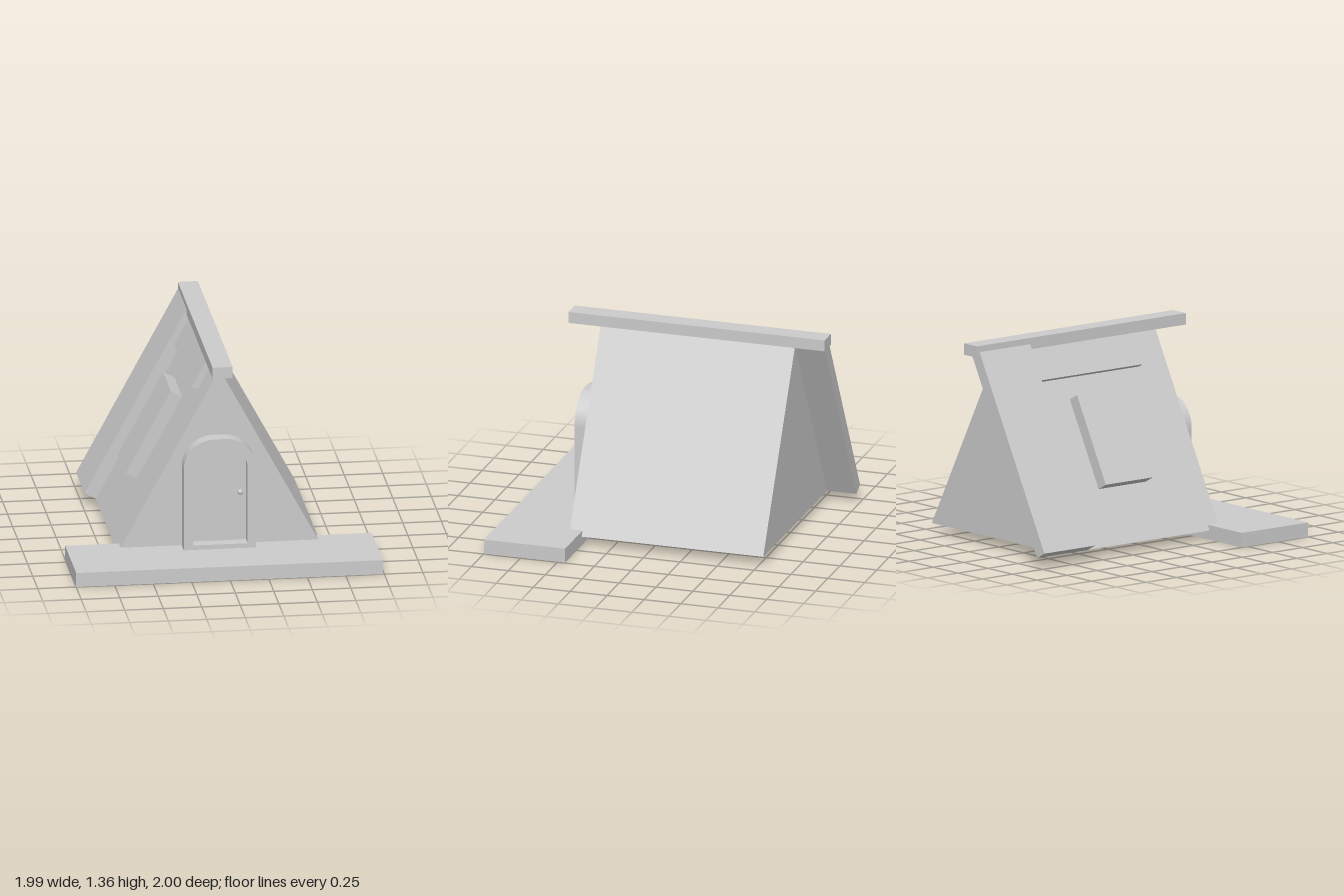
import * as THREE from 'three';

const material = new THREE.MeshStandardMaterial({ color: 0xcccccc });
const smooth = 10;

// Extrude a 2D outline (x, y) from z0 to z1
function slab(name, shape, z0, z1) {
  const s = Array.isArray(shape) ? new THREE.Shape(shape.map(([x, y]) => new THREE.Vector2(x, y))) : shape;
  const geometry = new THREE.ExtrudeGeometry(s, { depth: z1 - z0, bevelEnabled: false, curveSegments: smooth });
  geometry.translate(0, 0, z0);
  const mesh = new THREE.Mesh(geometry, material);
  mesh.name = name;
  return mesh;
}

function box(name, x0, x1, y0, y1, z0, z1) {
  const mesh = new THREE.Mesh(new THREE.BoxGeometry(x1 - x0, y1 - y0, z1 - z0), material);
  mesh.position.set((x0 + x1) / 2, (y0 + y1) / 2, (z0 + z1) / 2);
  mesh.name = name;
  return mesh;
}

// Doorway outline: upright sides and a top with rounded shoulders
function archOutline(x0, x1, y0, y1, r, Kind = THREE.Shape) {
  const s = new Kind();
  s.moveTo(x0, y0);
  s.lineTo(x1, y0);
  s.lineTo(x1, y1 - r);
  s.absarc(x1 - r, y1 - r, r, 0, Math.PI / 2, false);
  s.lineTo(x0 + r, y1);
  s.absarc(x0 + r, y1 - r, r, Math.PI / 2, Math.PI, false);
  s.lineTo(x0, y0);
  return s;
}

// Left-hand slope of the tent-shaped body, from eave to apex
const eave = new THREE.Vector2(-0.67, 0.06);
const apex = new THREE.Vector2(-0.01, 1.28);
const along = apex.clone().sub(eave).normalize();
const outward = new THREE.Vector2(-along.y, along.x);

// Board lying on that slope between fractions t0 and t1 of its length
function slopeBoard(name, t0, t1, thickness, z0, z1) {
  const a = eave.clone().lerp(apex, t0);
  const b = eave.clone().lerp(apex, t1);
  const c = b.clone().addScaledVector(outward, thickness);
  const d = a.clone().addScaledVector(outward, thickness);
  return slab(name, [a, b, c, d].map((p) => [p.x, p.y]), z0, z1);
}

export function createModel() {
  const group = new THREE.Group();
  group.name = 'cabin';

  // Porch, body and ridge
  group.add(box('porch', -1, 0.99, 0, 0.095, 0.45, 1));
  group.add(slab('body', [[-0.67, 0.06], [0.65, 0.06], [-0.01, 1.28]], -0.78, 0.535));
  group.add(box('ridgeBeam', -0.08, 0.05, 1.285, 1.36, -1, 0.735));

  // Pieces on the left slope
  group.add(slopeBoard('rearRoofBoard', 0, 1, 0.083, -0.98, -0.56));
  group.add(slopeBoard('ridgePanel', 0.828, 1, 0.042, -0.56, 0.31));
  group.add(slopeBoard('skylight', 0.279, 0.725, 0.083, -0.32, 0.07));

  // Door frame with its opening
  const frame = archOutline(-0.255, 0.215, 0.09, 0.84, 0.2);
  frame.holes.push(archOutline(-0.195, 0.16, 0.125, 0.78, 0.145, THREE.Path));
  group.add(slab('doorFrame', frame, 0.545, 0.64));

  // Door: backing leaf with three planks whose faces differ slightly in depth
  const door = new THREE.Group();
  door.name = 'door';
  door.add(slab('doorLeaf', archOutline(-0.2, 0.165, 0.12, 0.785, 0.15), 0.535, 0.556));
  for (let i = 0; i < 3; i++) {
    const x0 = -0.193 + i * 0.119;
    const mid = i === 1;
    const top = mid ? 0.775 : 0.64;
    const plank = new THREE.Shape();
    plank.moveTo(x0, 0.127);
    plank.lineTo(x0 + 0.113, 0.127);
    plank.lineTo(x0 + 0.113, i === 2 ? 0.64 : 0.77);
    if (i === 0) plank.quadraticCurveTo(x0 + 0.015, 0.75, x0, top);
    else if (mid) plank.lineTo(x0, 0.77);
    else {
      plank.quadraticCurveTo(x0 + 0.098, 0.75, x0, 0.77);
    }
    plank.closePath();
    door.add(slab('doorPlank', plank, 0.55, mid ? 0.566 : 0.562));
  }
  const knob = new THREE.Mesh(new THREE.SphereGeometry(0.018, 16, 12), material);
  knob.position.set(0.12, 0.455, 0.578);
  knob.name = 'doorKnob';
  door.add(knob);
  group.add(door);

  return group;
}
